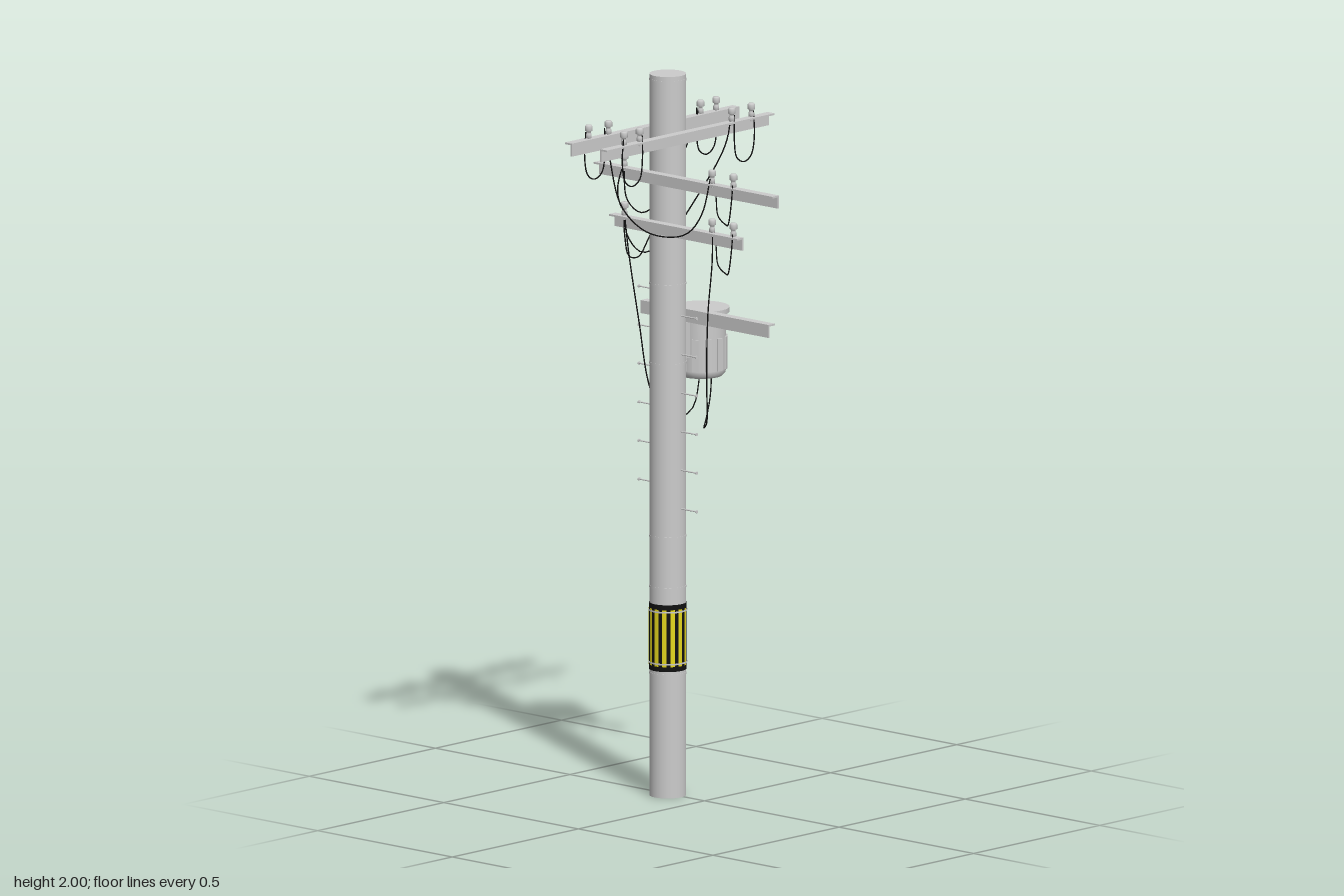
import * as THREE from 'three';

const PX = -0.127, PZ = 0.01, R = 0.05;
const grey = new THREE.MeshStandardMaterial({ color: 0xcccccc });
const black = new THREE.MeshStandardMaterial({ color: 0x111111 });
const yellow = new THREE.MeshStandardMaterial({ color: 0xe6d81e });

export function createModel() {
  const root = new THREE.Group();
  const add = (name, geo, mat, x = 0, y = 0, z = 0, parent = root) => {
    const m = new THREE.Mesh(geo, mat);
    m.name = name;
    m.position.set(x, y, z);
    parent.add(m);
    return m;
  };
  const cyl = (rt, rb, h, n = 32, open = false) => new THREE.CylinderGeometry(rt, rb, h, n, 1, open);
  const group = (name) => {
    const g = new THREE.Group();
    g.name = name;
    root.add(g);
    return g;
  };

  // Pole with thin joint bands
  add('pole', cyl(R, R, 2, 40), grey, PX, 1, PZ);
  for (const y of [0.34, 0.58, 0.72, 1.2, 1.42, 1.985])
    add('poleBand', cyl(R + 0.0008, R + 0.0008, 0.006, 40), grey, PX, y, PZ);

  // Striped warning sleeve
  const sleeve = group('warningSleeve');
  sleeve.position.set(PX, 0.443, PZ);
  add('sleeveBase', cyl(R + 0.001, R + 0.001, 0.185, 40), black, 0, 0, 0, sleeve);
  const N = 14;
  for (let i = 0; i < N; i++) {
    const arc = (Math.PI * 2) / N;
    const stripe = new THREE.CylinderGeometry(R + 0.002, R + 0.002, 0.158, 3, 1, true, i * arc, arc * 0.55);
    add('sleeveStripe', stripe, yellow, 0, 0, 0, sleeve);
  }
  for (const y of [-0.072, 0.072])
    add('sleeveStrap', cyl(R + 0.0028, R + 0.0028, 0.004, 40), grey, 0, y, 0, sleeve);

  // Angle-iron crossarms: upright flange against the pole, top flange pointing outward
  const W = 0.026, H = 0.036, T = 0.005;
  const angle = new THREE.Shape([[0, 0], [T, 0], [T, H - T], [W, H - T], [W, H], [0, H]]
    .map(([a, b]) => new THREE.Vector2(a, b)));
  const crossarm = (name, length, x, y, z, turn) => {
    const geo = new THREE.ExtrudeGeometry(angle, { depth: length, bevelEnabled: false });
    geo.translate(0, 0, -length / 2);
    add(name, geo, grey, x, y, z).rotation.y = turn;
  };
  crossarm('topCrossarmLeft', 0.664, -0.077, 1.811, 0, 0);
  crossarm('topCrossarmRight', 0.664, -0.181, 1.811, 0, Math.PI);
  crossarm('upperFrontCrossarm', 0.664, 0, 1.7, 0.059, -Math.PI / 2);
  crossarm('lowerFrontCrossarm', 0.475, -0.0375, 1.564, 0.059, -Math.PI / 2);
  crossarm('transformerCrossarm', 0.475, -0.0375, 1.306, -0.04, Math.PI / 2);

  // Insulators
  const insulatorGeo = new THREE.LatheGeometry([[0, -0.012], [0.003, -0.012], [0.003, 0.002], [0.008, 0.002],
    [0.008, 0.012], [0.006, 0.015], [0.006, 0.02], [0.0105, 0.022], [0.0105, 0.034], [0.008, 0.038], [0, 0.038]]
    .map(([r, y]) => new THREE.Vector2(r, y)), 16);
  insulatorGeo.computeVertexNormals();
  const insulators = group('insulators');
  const insulator = (x, y, z) => add('insulator', insulatorGeo, grey, x, y, z, insulators);
  for (const z of [-0.252, -0.19, 0.175, 0.253]) insulator(-0.193, 1.847, z);
  for (const z of [-0.255, -0.177, 0.188, 0.25]) insulator(-0.065, 1.847, z);
  for (const y of [1.736, 1.6]) for (const x of [-0.231, 0.095, 0.174]) insulator(x, y, 0.071);

  // Climbing pegs, staggered on both sides
  const pegs = group('climbingPegs');
  for (const [side, y0] of [[-1, 0.86], [1, 0.8]]) {
    for (let i = 0; i < 6; i++) {
      const y = y0 + i * 0.107;
      const peg = add('peg', cyl(0.002, 0.002, 0.064, 8), grey, PX + side * 0.076, y, PZ, pegs);
      const head = add('pegHead', cyl(0.0045, 0.0045, 0.003, 8), grey, PX + side * 0.107, y, PZ, pegs);
      peg.rotation.z = head.rotation.z = Math.PI / 2;
    }
  }

  // Transformer can with lid, ribs and recessed bottom
  const can = group('transformer');
  can.position.set(-0.125, 1.145, -0.12);
  const lathe = (pts) => new THREE.LatheGeometry(pts.map(([r, y]) => new THREE.Vector2(r, y)), 28);
  add('tank', lathe([[0, 0.012], [0.045, 0.012], [0.045, 0], [0.058, 0], [0.066, 0.008],
    [0.068, 0.02], [0.068, 0.172]]), grey, 0, 0, 0, can).material.side = THREE.FrontSide;
  add('lid', cyl(0.077, 0.077, 0.014, 28), grey, 0, 0.182, 0, can);
  add('lidRim', cyl(0.072, 0.07, 0.01, 28), grey, 0, 0.17, 0, can);
  for (let i = 0; i < 12; i++) {
    const a = (i / 12) * Math.PI * 2;
    const rib = add('rib', new THREE.BoxGeometry(0.018, 0.09, 0.008), grey,
      Math.sin(a) * 0.068, 0.065, Math.cos(a) * 0.068, can);
    rib.rotation.y = a;
  }
  add('hangerBracket', new THREE.BoxGeometry(0.04, 0.1, 0.025), grey, 0, 0.11, 0.072, can);

  // Wires
  const wires = group('wires');
  const wire = (name, pts) => {
    const curve = new THREE.CatmullRomCurve3(pts.map((p) => new THREE.Vector3(...p)));
    add(name, new THREE.TubeGeometry(curve, 36, 0.0019, 6), black, 0, 0, 0, wires);
  };
  // Slack loops hanging between neighbouring insulators
  for (const x of [-0.2, -0.06]) {
    for (const s of [-1, 1]) {
      wire('topLoop', [[x, 1.865, s * 0.257], [x, 1.8, s * 0.262], [x, 1.745, s * 0.25], [x, 1.729, s * 0.222],
        [x, 1.745, s * 0.192], [x, 1.8, s * 0.182], [x, 1.865, s * 0.183]]);
    }
  }
  for (const y of [1.75, 1.614]) {
    wire('frontLoop', [[0.176, y, 0.075], [0.183, y - 0.06, 0.09], [0.172, y - 0.11, 0.088],
      [0.135, y - 0.124, 0.06], [0.105, y - 0.105, 0.058], [0.096, y - 0.05, 0.057], [0.095, y, 0.066]]);
  }
  wire('linkRight', [[-0.233, 1.75, 0.071], [-0.24, 1.68, 0.088], [-0.236, 1.64, 0.086], [-0.232, 1.614, 0.073]]);
  wire('tailRight', [[-0.233, 1.614, 0.07], [-0.24, 1.54, 0.06], [-0.228, 1.485, 0.055],
    [-0.205, 1.485, 0.045], [-0.192, 1.53, 0.02], [-0.188, 1.6, -0.02]]);
  // Drops from the top crossarms to the front crossarms
  wire('frontDrop', [[-0.195, 1.865, 0.178], [-0.193, 1.76, 0.165], [-0.18, 1.64, 0.135], [-0.13, 1.58, 0.105],
    [-0.05, 1.57, 0.094], [0.02, 1.59, 0.088], [0.07, 1.65, 0.085], [0.095, 1.75, 0.078]]);
  wire('backDropRight', [[-0.195, 1.865, -0.188], [-0.196, 1.77, -0.14], [-0.2, 1.65, -0.06],
    [-0.22, 1.6, 0.01], [-0.235, 1.64, 0.055], [-0.233, 1.75, 0.071]]);
  wire('backDropLeft', [[-0.066, 1.865, -0.177], [-0.078, 1.78, -0.165], [-0.13, 1.64, -0.11],
    [-0.19, 1.52, -0.05], [-0.22, 1.49, 0.01], [-0.234, 1.54, 0.055], [-0.232, 1.614, 0.071]]);
  // Leads down to the transformer
  wire('leadLeft', [[0.095, 1.614, 0.07], [0.085, 1.52, 0.06], [0.05, 1.36, 0.04], [0.022, 1.17, 0.015],
    [0, 1.05, -0.01], [-0.04, 1.022, -0.04], [-0.085, 1.04, -0.1], [-0.1, 1.09, -0.13], [-0.1, 1.16, -0.135]]);
  wire('leadRight', [[-0.232, 1.614, 0.071], [-0.226, 1.5, 0.06], [-0.205, 1.3, 0.04], [-0.198, 1.13, 0.01],
    [-0.185, 1.04, -0.025], [-0.165, 1.025, -0.06], [-0.148, 1.05, -0.11], [-0.14, 1.16, -0.135]]);
  return root;
}
